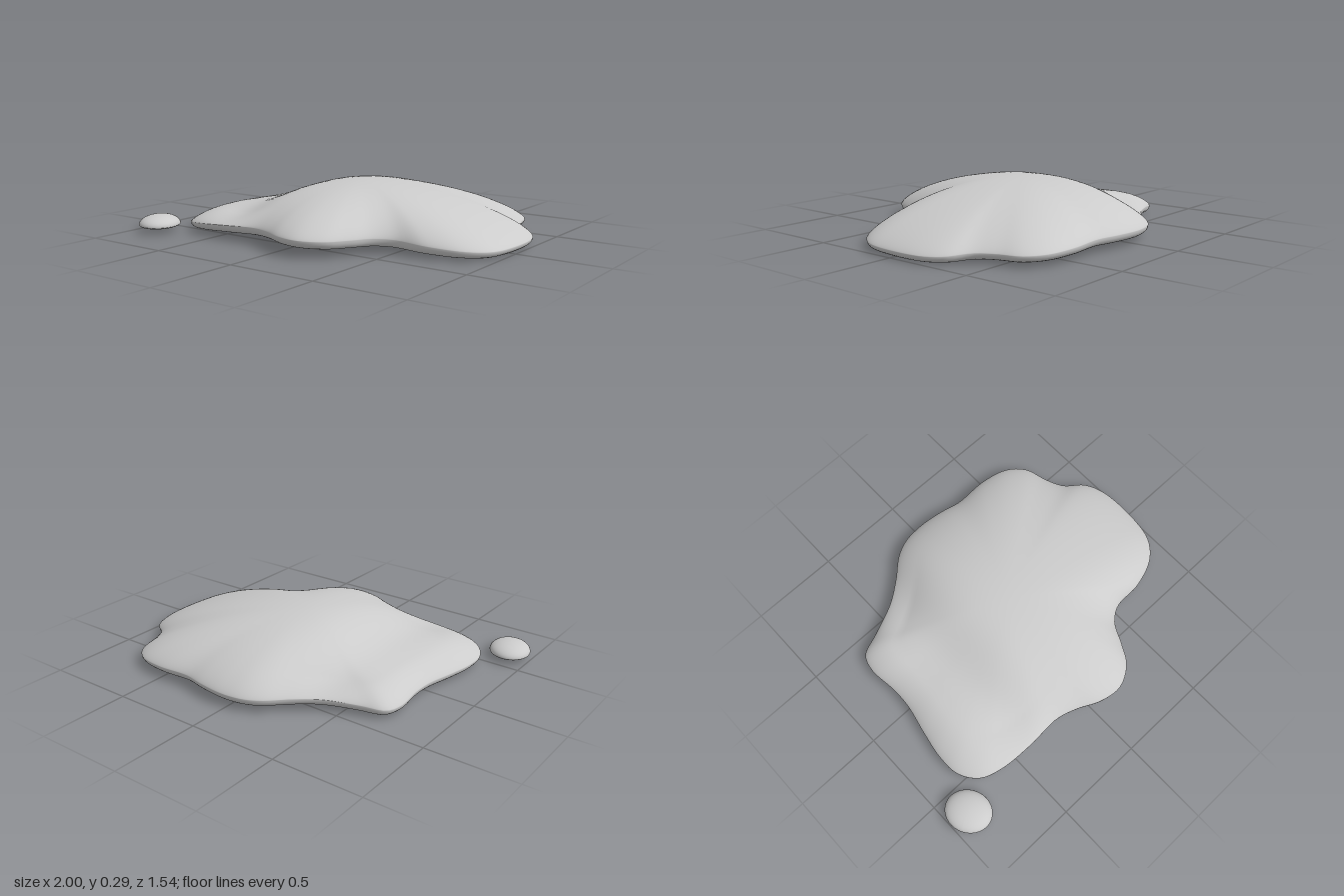
import * as THREE from 'three';

// Puddle outline as x, z pairs, from the back round by the left side
const OUTLINE = [
  0.03, -0.77, 0.18, -0.755, 0.3, -0.73, 0.5, -0.735, 0.66, -0.7, 0.75, -0.62, 0.79, -0.49,
  0.84, -0.39, 0.94, -0.31, 0.99, -0.2, 0.995, 0.05, 0.96, 0.2, 0.87, 0.3, 0.7, 0.365,
  0.52, 0.38, 0.43, 0.44, 0.37, 0.55, 0.3, 0.66, 0.18, 0.725, 0.05, 0.71, -0.08, 0.65,
  -0.2, 0.615, -0.4, 0.62, -0.6, 0.605, -0.72, 0.56, -0.79, 0.46, -0.8, 0.33, -0.775, 0.17,
  -0.74, 0, -0.735, -0.12, -0.75, -0.3, -0.72, -0.39, -0.6, -0.44, -0.42, -0.52,
  -0.3, -0.61, -0.19, -0.71, -0.1, -0.755,
];
const CENTRE = { x: 0.03, z: -0.03 };
const SEGMENTS = 180, RINGS = 28;
const bump = (d, width) => Math.exp(-((d / width) ** 2));

// Underside: arched across x, a little lower at the back, with a shallow dent
function bottomY(x, z) {
  const arch = x < 0 ? 0.058 - 0.075 * x * x : 0.058 - 0.056 * x * x;
  const back = 0.02 * THREE.MathUtils.smoothstep(-z, 0.3, 0.75) * (1 - Math.min(1, Math.abs(x)));
  return Math.max(0.003, arch - back) + 0.03 * bump(Math.hypot(x + 0.2, z), 0.13);
}
const rimY = (x, z) => bottomY(x, z) + 0.042;

function puddleGeometry() {
  const points = [];
  for (let i = 0; i < OUTLINE.length; i += 2) {
    points.push(new THREE.Vector3(OUTLINE[i], 0, OUTLINE[i + 1]));
  }
  const curve = new THREE.CatmullRomCurve3(points, true);
  const edge = curve.getSpacedPoints(SEGMENTS).slice(0, SEGMENTS);
  const pos = [], index = [];

  // One ring: round near the middle, taking the outline's shape towards the rim
  function addRing(t, height) {
    for (const p of edge) {
      const dx = p.x - CENTRE.x, dz = p.z - CENTRE.z;
      const k = t * THREE.MathUtils.lerp(0.78 / Math.hypot(dx, dz), 1, t);
      const x = CENTRE.x + dx * k, z = CENTRE.z + dz * k;
      pos.push(x, height(x, z, p), z);
    }
  }
  // Domed top, sagging a little on the right side
  for (let r = 0; r <= RINGS; r++) {
    const t = Math.sin((r / RINGS) * Math.PI / 2);
    const dome = Math.pow(Math.max(0, 1 - t * t), 0.75);
    addRing(t, (x, z, p) => {
      const rim = rimY(p.x, p.z);
      return rim + (0.3 - rim) * dome - 0.055 * bump(x + 0.42, 0.19) * Math.min(1, dome * 2);
    });
  }
  // Rounded lip tucking under to the base
  for (let r = 1; r <= 6; r++) {
    const a = (r / 6) * Math.PI / 2;
    addRing(1 - 0.06 * (1 - Math.cos(a)), (x, z) => bottomY(x, z) + 0.042 * (1 - Math.sin(a)));
  }
  for (let r = 1; r <= 16; r++) addRing(0.94 * (1 - r / 16), bottomY);

  const rows = pos.length / 3 / SEGMENTS;
  for (let r = 0; r < rows - 1; r++) {
    for (let i = 0; i < SEGMENTS; i++) {
      const j = (i + 1) % SEGMENTS;
      const a = r * SEGMENTS + i, b = r * SEGMENTS + j;
      const c = a + SEGMENTS, d = b + SEGMENTS;
      if (r < rows - 2) index.push(a, d, c);
      else index.push(a, b, c);
      if (r > 0 && r < rows - 2) index.push(a, b, d);
    }
  }
  const g = new THREE.BufferGeometry();
  g.setAttribute('position', new THREE.Float32BufferAttribute(pos, 3));
  g.setIndex(index);
  g.computeVertexNormals();
  // Both poles get a plain vertical normal
  for (let i = 0; i < SEGMENTS; i++) {
    g.attributes.normal.setXYZ(i, 0, 1, 0);
    g.attributes.normal.setXYZ((rows - 1) * SEGMENTS + i, 0, -1, 0);
  }
  return g;
}

// Stray drop: domed above, flattened below
function dropletGeometry() {
  const g = new THREE.SphereGeometry(1, 40, 28);
  const p = g.attributes.position;
  for (let i = 0; i < p.count; i++) {
    const y = p.getY(i);
    p.setXYZ(i, p.getX(i) * 0.113, y * (y > 0 ? 0.055 : 0.022), p.getZ(i) * 0.13);
  }
  g.computeVertexNormals();
  return g;
}

export function createModel() {
  const group = new THREE.Group();
  group.name = 'puddle';
  const material = new THREE.MeshStandardMaterial({ color: 0xcccccc });

  const body = new THREE.Mesh(puddleGeometry(), material);
  body.name = 'puddleBody';

  const droplet = new THREE.Mesh(dropletGeometry(), material);
  droplet.name = 'droplet';
  droplet.position.set(-0.88, 0.046, 0.645);
  droplet.rotation.set(0, 0.47, 0);

  group.add(body, droplet);
  return group;
}
